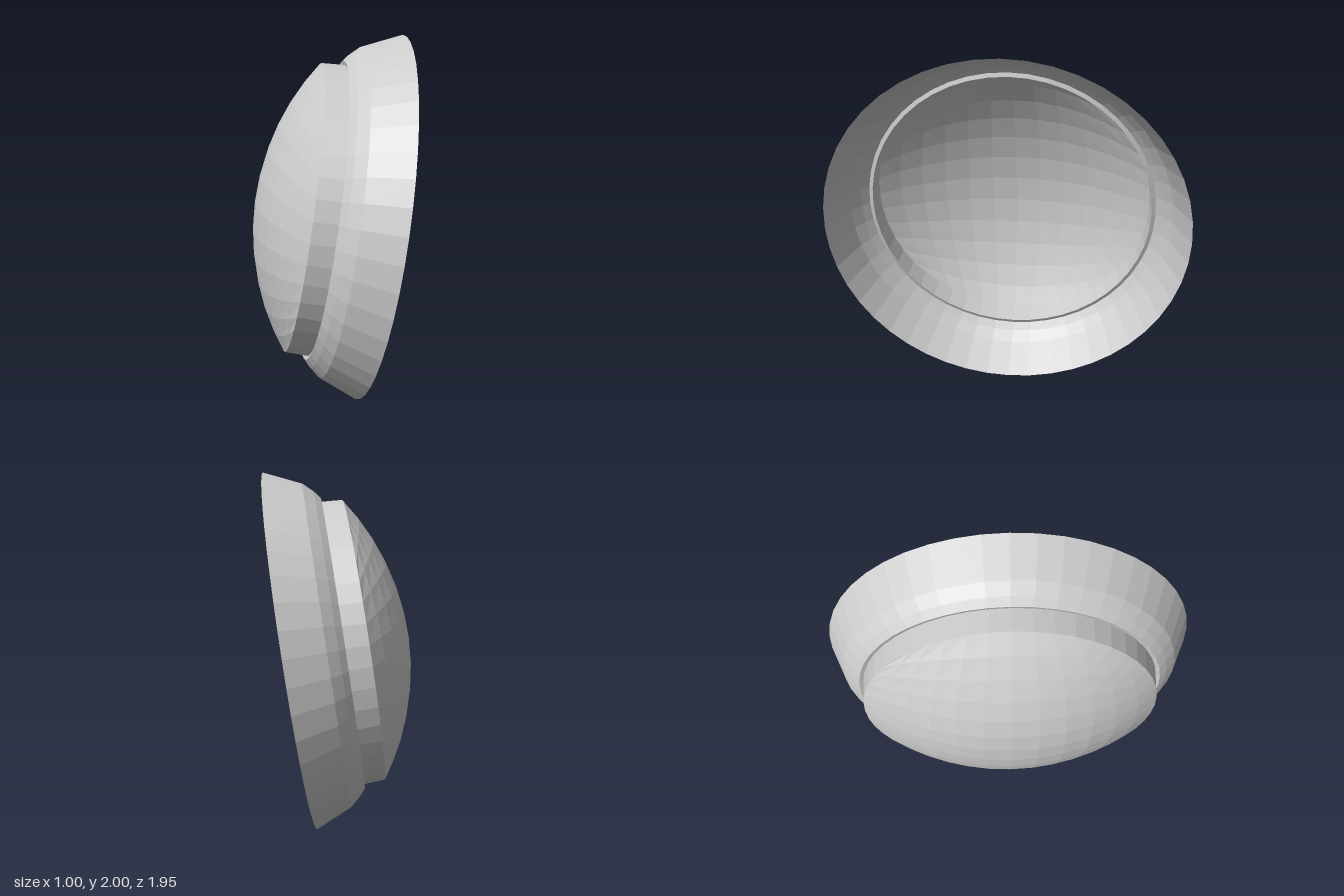
import * as THREE from 'three';

const SEGMENTS = 48;
const COLLAR_R = 0.8, COLLAR_D = 0.41;   // top of collar: radius, distance from rim plane
const DOME_H = 0.258;

// Square grid wrapped onto a disc and lifted to a shallow spherical cap
function domeGeometry() {
  const n = SEGMENTS / 4;
  const geo = new THREE.PlaneGeometry(2, 2, n, n);
  const p = geo.attributes.position;
  const R = (COLLAR_R ** 2 + DOME_H ** 2) / (2 * DOME_H);
  const warp = (s) => Math.SQRT2 * Math.sin((s * Math.PI) / 4);
  for (let i = 0; i < p.count; i++) {
    const a = warp(p.getX(i)), b = warp(p.getY(i));
    const x = COLLAR_R * a * Math.sqrt(1 - (b * b) / 2);
    const y = COLLAR_R * b * Math.sqrt(1 - (a * a) / 2);
    p.setXYZ(i, x, y, COLLAR_D + DOME_H - R + Math.sqrt(R * R - x * x - y * y));
  }
  geo.computeVertexNormals();
  return geo;
}

// Ring surface from [radius, distance from rim plane] pairs, turned about z
function ringGeometry(profile) {
  const pts = profile.map(([r, d]) => new THREE.Vector2(r, d));
  return new THREE.LatheGeometry(pts, SEGMENTS).rotateX(Math.PI / 2);
}

export function createModel() {
  const grey = new THREE.MeshStandardMaterial({ color: 0xcccccc });
  grey.name = 'light grey';
  grey.side = THREE.DoubleSide;
  grey.flatShading = true;

  const shell = new THREE.Group();
  shell.name = 'tiltedShell';
  const add = (name, geo) => {
    const mesh = new THREE.Mesh(geo, grey);
    mesh.name = name;
    shell.add(mesh);
  };

  // Open flared brim, narrow collar and domed crown
  add('brim', ringGeometry([[1.012, 0], [0.92, 0.205], [0.87, 0.26], [0.83, 0.293], [0.808, 0.285]]));
  add('collar', ringGeometry([[0.808, 0.285], [COLLAR_R, COLLAR_D]]));
  add('dome', domeGeometry());

  // Tilt so the dome faces mostly right, a little up and forward
  const z = new THREE.Vector3(-0.954, 0.15, 0.262).normalize();
  const x = new THREE.Vector3(0, 1, 0).cross(z).normalize();
  const y = z.clone().cross(x);
  shell.quaternion.setFromRotationMatrix(new THREE.Matrix4().makeBasis(x, y, z));
  shell.position.set(0.2, 1, 0);

  const model = new THREE.Group();
  model.name = 'domedHat';
  model.add(shell);
  return model;
}
